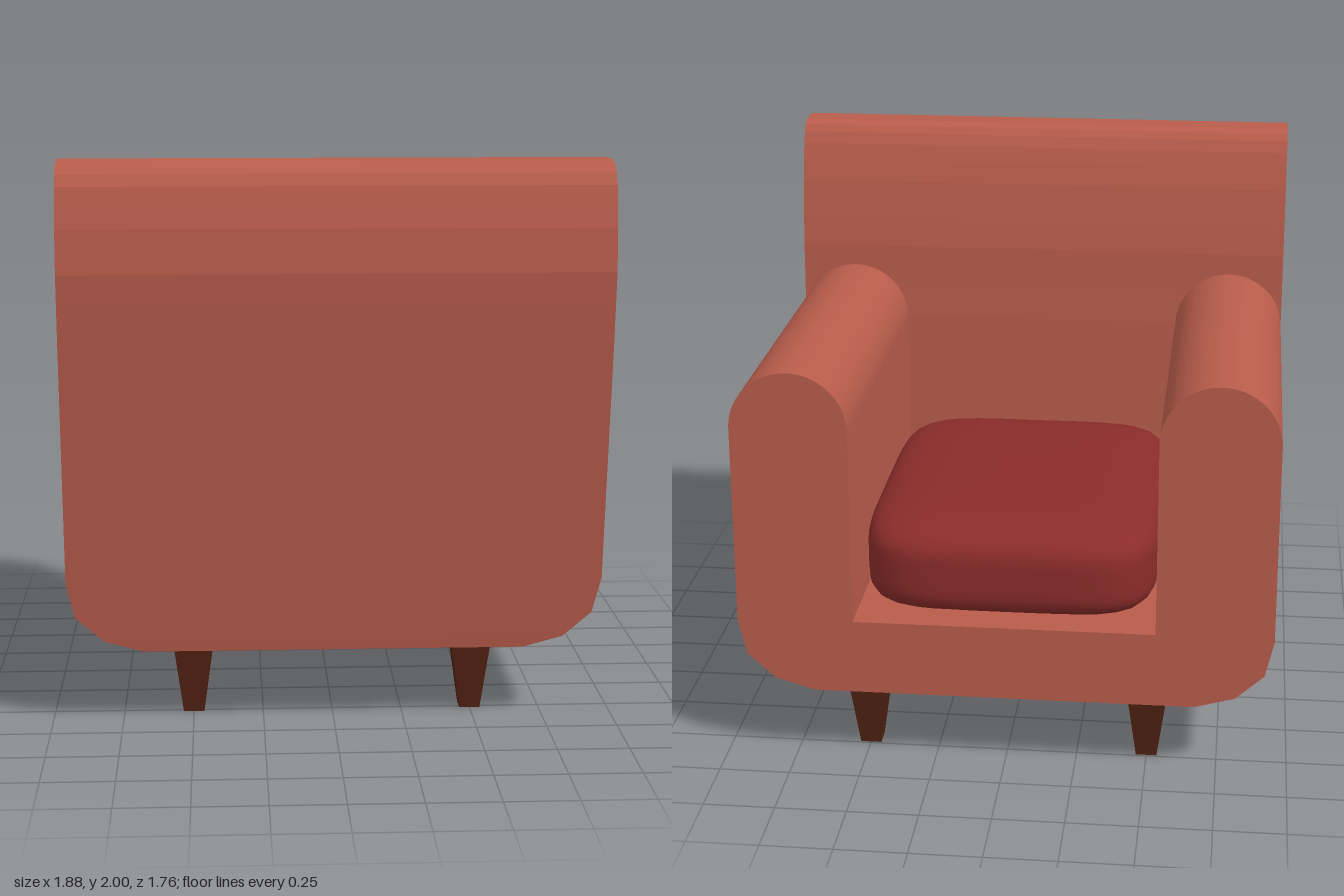
import * as THREE from 'three';
import { mergeVertices } from 'three/addons/utils/BufferGeometryUtils.js';

const fabric = new THREE.MeshStandardMaterial({ color: 0xb85c4b, flatShading: true });
const cushionFabric = new THREE.MeshStandardMaterial({ color: 0x8a2c2a });
const wood = new THREE.MeshStandardMaterial({ color: 0x4f2211, flatShading: true });

function addMesh(group, name, geometry, material) {
  const mesh = new THREE.Mesh(geometry, material);
  mesh.name = name;
  group.add(mesh);
  return mesh;
}

// U-shaped section: two round-topped arms joined by the seat base
function armsAndBaseGeometry() {
  const s = new THREE.Shape();
  const r = 0.205, armX = 0.735, armY = 1.245, floorY = 0.54;
  s.moveTo(-0.67, 0.27);
  for (const [x, y] of [[0.67, 0.27], [0.81, 0.31], [0.91, 0.4], [0.94, 0.53], [0.94, armY]]) s.lineTo(x, y);
  s.absarc(armX, armY, r, 0, Math.PI, false);
  s.lineTo(0.53, floorY);
  s.lineTo(-0.53, floorY);
  s.lineTo(-0.53, armY);
  s.absarc(-armX, armY, r, 0, Math.PI, false);
  for (const [x, y] of [[-0.94, 0.53], [-0.91, 0.4], [-0.81, 0.31]]) s.lineTo(x, y);
  const g = new THREE.ExtrudeGeometry(s, { depth: 1.37, bevelEnabled: false, curveSegments: 20 });
  return g.translate(0, 0, -0.88);
}

// Backrest: rectangular rings stacked upwards, [y, half width, z inner, z outer]
function backrestGeometry() {
  const rings = [
    [0.27, 0.67, 0.48, 0.67], [0.31, 0.81, 0.48, 0.677], [0.4, 0.91, 0.48, 0.691],
    [0.53, 0.94, 0.48, 0.712], [1.25, 0.94, 0.48, 0.829], [1.38, 0.94, 0.485, 0.85],
    [1.53, 0.94, 0.49, 0.87], [1.63, 0.94, 0.501, 0.882], [1.78, 0.94, 0.52, 0.875],
    [1.86, 0.94, 0.537, 0.86], [1.92, 0.94, 0.556, 0.847], [1.96, 0.94, 0.575, 0.825],
    [1.985, 0.94, 0.595, 0.795], [2.0, 0.94, 0.63, 0.735],
  ];
  const pos = [], index = [];
  for (const [y, w, zi, zo] of rings) pos.push(-w, y, zo, w, y, zo, w, y, zi, -w, y, zi);
  for (let i = 0; i < rings.length - 1; i++) {
    for (let k = 0; k < 4; k++) {
      const a = i * 4 + k, b = i * 4 + (k + 1) % 4;
      index.push(a, b, b + 4, a, b + 4, a + 4);
    }
  }
  const t = (rings.length - 1) * 4;
  index.push(0, 2, 1, 0, 3, 2, t, t + 1, t + 2, t, t + 2, t + 3);
  const g = new THREE.BufferGeometry();
  g.setAttribute('position', new THREE.Float32BufferAttribute(pos, 3));
  g.setIndex(index);
  const flat = g.toNonIndexed();
  flat.computeVertexNormals();
  return flat;
}

// Seat cushion: a sphere squared off in plan and softly domed on top
function cushionGeometry() {
  let g = new THREE.SphereGeometry(1, 64, 40);
  g.deleteAttribute('uv');
  g.deleteAttribute('normal');
  const p = g.attributes.position, n = 5.5, m = 4.5;
  for (let i = 0; i < p.count; i++) {
    const x = p.getX(i), y = p.getY(i), z = p.getZ(i);
    const plan = Math.pow(Math.abs(x) ** n + Math.abs(z) ** n, m / n);
    const k = 1 / Math.pow(plan + Math.abs(y) ** m, 1 / m);
    p.setXYZ(i, x * k * 0.528, y * k * 0.18, z * k * 0.67);
  }
  g = mergeVertices(g, 1e-5);
  g.computeVertexNormals();
  return g;
}

export function createModel() {
  const chair = new THREE.Group();
  chair.name = 'armchair';

  addMesh(chair, 'armsAndBase', armsAndBaseGeometry(), fabric);
  addMesh(chair, 'backrest', backrestGeometry(), fabric);
  addMesh(chair, 'seatCushion', cushionGeometry(), cushionFabric).position.set(0, 0.69, -0.15);

  // Square tapered legs
  const leg = new THREE.CylinderGeometry(0.073 * Math.SQRT2, 0.037 * Math.SQRT2, 0.27, 4);
  leg.rotateY(Math.PI / 4);
  for (const x of [-0.5, 0.5]) {
    for (const z of [-0.705, 0.48]) {
      addMesh(chair, z < 0 ? 'seatEndLeg' : 'backrestLeg', leg, wood).position.set(x, 0.135, z);
    }
  }
  return chair;
}
